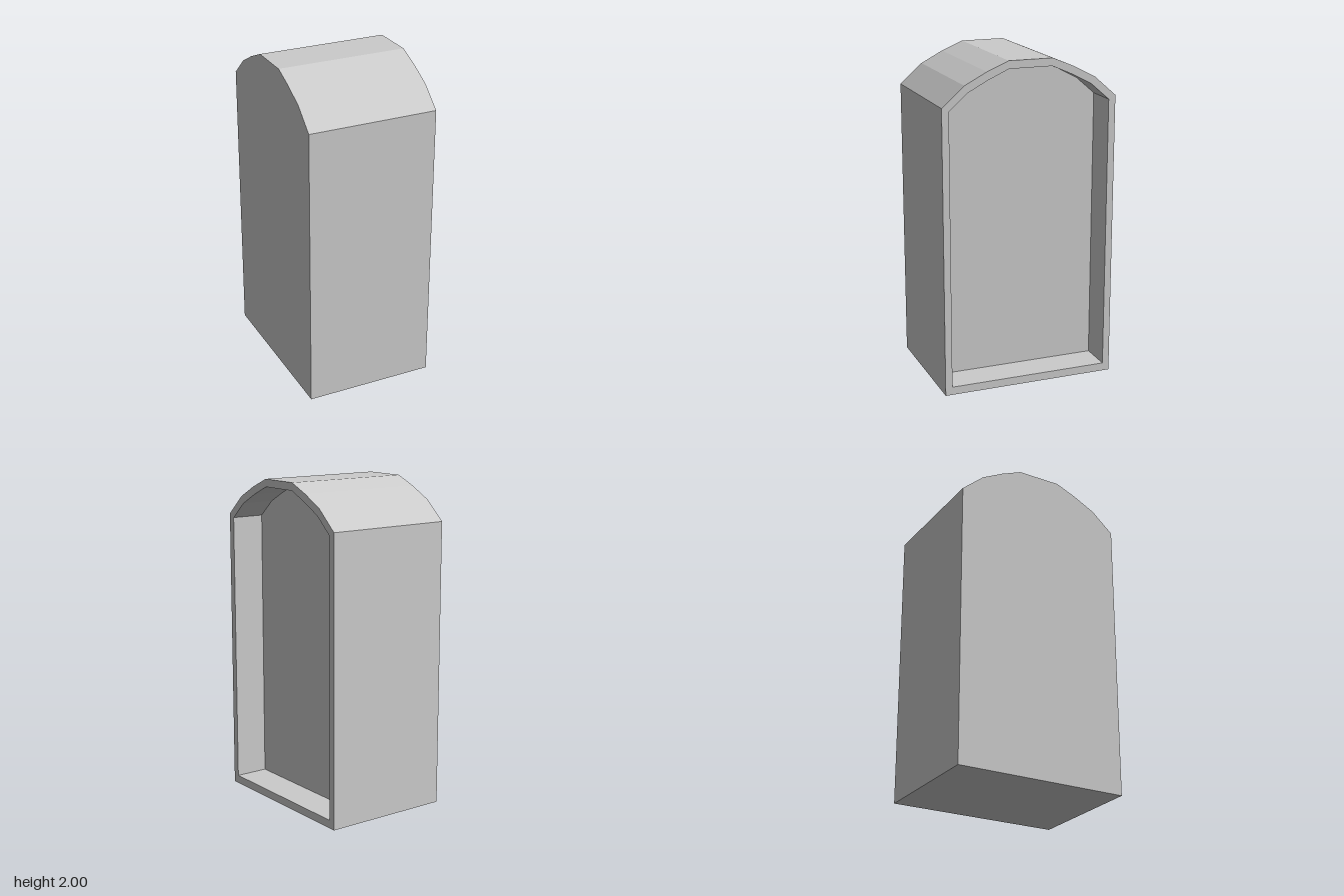
import * as THREE from 'three';

// Half outlines as [z, y], from the bottom corner up to the flat crown
const OUTER = [[0.54, 0], [0.54, 1.755], [0.403, 1.875], [0.268, 1.945], [0.136, 2]];
const INNER = [[0.497, 0.05], [0.497, 1.733], [0.382, 1.833], [0.26, 1.897], [0.134, 1.953]];
const BACK = -0.4, FLOOR = 0.192, FRONT = 0.4;

// Mirror a half outline into a closed loop
function outline(half) {
  const mirrored = half.map(([z, y]) => [-z, y]).reverse();
  return [...half, ...mirrored].map(([z, y]) => new THREE.Vector2(z, y));
}

// Extrude a shape along x between two positions
function extrudeX(name, shape, x0, x1, material) {
  const geometry = new THREE.ExtrudeGeometry(shape, { depth: x1 - x0, bevelEnabled: false });
  geometry.rotateY(Math.PI / 2);
  geometry.translate(x0, 0, 0);
  const mesh = new THREE.Mesh(geometry, material);
  mesh.name = name;
  return mesh;
}

export function createModel() {
  const group = new THREE.Group();
  group.name = 'archedNicheBlock';
  const material = new THREE.MeshStandardMaterial({ color: 0xcccccc, flatShading: true });

  // Solid body behind the recess
  group.add(extrudeX('body', new THREE.Shape(outline(OUTER)), BACK, FLOOR, material));

  // Thin rim around the recess, open towards +x
  const rim = new THREE.Shape(outline(OUTER));
  rim.holes.push(new THREE.Path(outline(INNER)));
  group.add(extrudeX('rim', rim, FLOOR, FRONT, material));

  return group;
}
